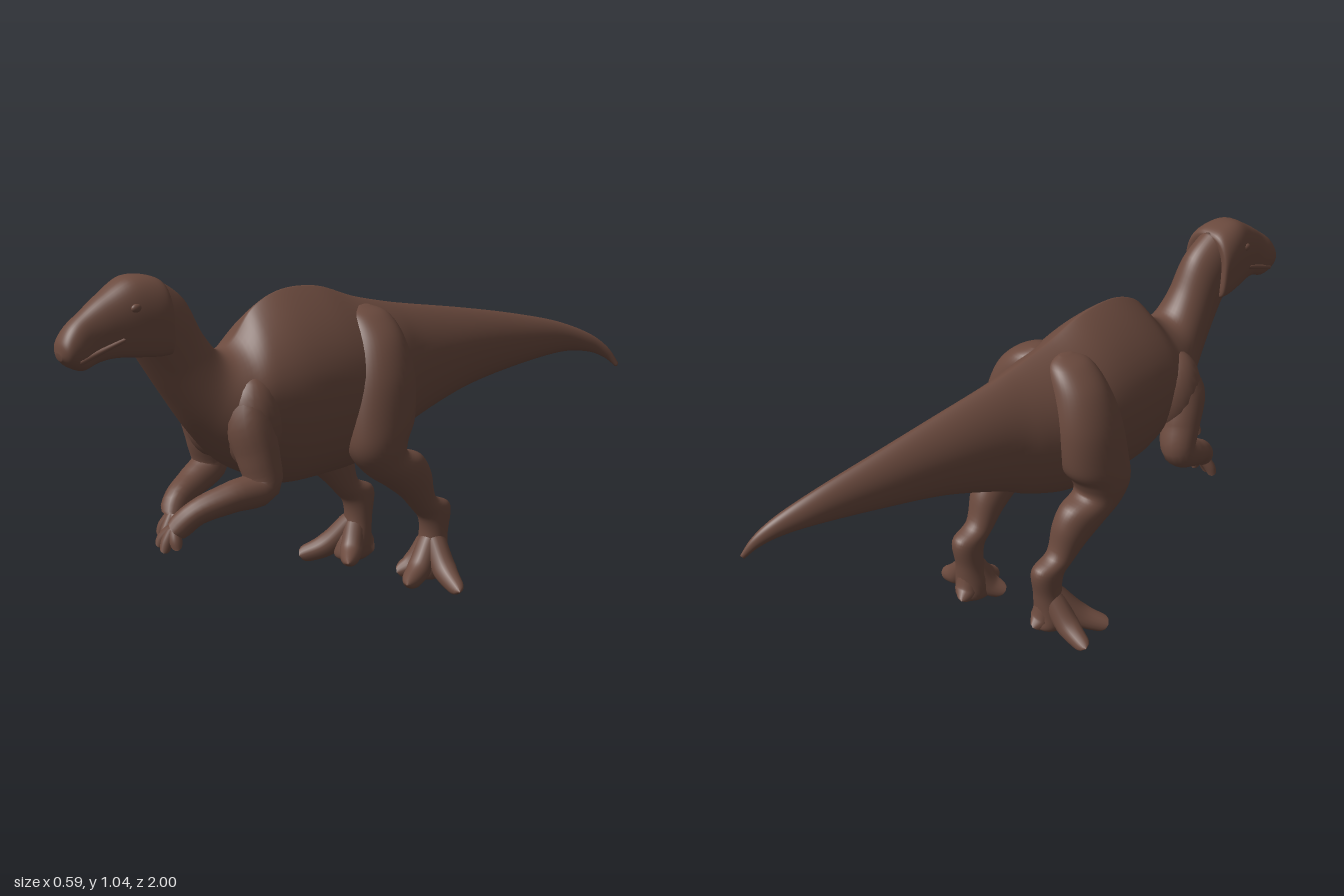
import * as THREE from 'three';

const skin = new THREE.MeshStandardMaterial({ color: 0x6b4a3e });
skin.name = 'brownSkin';

// Catmull-Rom interpolation of rows of numbers
function smoothRows(rows, steps) {
  const out = [], n = rows.length;
  for (let i = 0; i < n - 1; i++) {
    const a = rows[Math.max(i - 1, 0)], b = rows[i], c = rows[i + 1], d = rows[Math.min(i + 2, n - 1)];
    for (let s = 0; s < steps; s++) {
      const t = s / steps;
      out.push(b.map((v, k) => v + 0.5 * t * (c[k] - a[k] +
        t * (2 * a[k] - 5 * v + 4 * c[k] - d[k] + t * (3 * (v - c[k]) + d[k] - a[k])))));
    }
  }
  out.push(rows[n - 1]);
  return out;
}

// Loft of oval rings. Row: [z1, y1, z2, y2, centreX, halfWidth, power above, power below]
function loft(name, rows, sides = 40) {
  const rings = smoothRows(rows, 6), pos = [], index = [];
  for (const [z1, y1, z2, y2, cx, w, p, q] of rings) {
    for (let j = 0; j < sides; j++) {
      const t = j / sides * Math.PI * 2, c = Math.cos(t), s = Math.sin(t);
      const x = Math.sign(s) * Math.pow(Math.abs(s), c > 0 ? p : q) * Math.max(w, 0.002);
      pos.push(cx + x, (y1 + y2) / 2 + (y1 - y2) / 2 * c, (z1 + z2) / 2 + (z1 - z2) / 2 * c);
    }
  }
  for (let i = 0; i < rings.length - 1; i++) {
    for (let j = 0; j < sides; j++) {
      const k = (j + 1) % sides, a = i * sides + j, b = i * sides + k;
      index.push(a, b, a + sides, b, b + sides, a + sides);
    }
  }
  // close both ends
  const last = rings.length - 1;
  for (const [i, flip] of [[0, true], [last, false]]) {
    const [z1, y1, z2, y2, cx] = rings[i], m = pos.length / 3;
    pos.push(cx, (y1 + y2) / 2, (z1 + z2) / 2);
    for (let j = 0; j < sides; j++) {
      const a = i * sides + j, b = i * sides + (j + 1) % sides;
      index.push(m, flip ? b : a, flip ? a : b);
    }
  }
  const g = new THREE.BufferGeometry();
  g.setAttribute('position', new THREE.Float32BufferAttribute(pos, 3));
  g.setIndex(index);
  g.computeVertexNormals();
  const mesh = new THREE.Mesh(g, skin);
  mesh.name = name;
  return mesh;
}

// Round-ended tube of varying thickness. Row: [x, y, z, radius]
function limb(name, rows) {
  const curve = new THREE.CatmullRomCurve3(rows.map(r => new THREE.Vector3(r[0], r[1], r[2])));
  const seg = 30, sides = 16, length = curve.getLength();
  const g = new THREE.TubeGeometry(curve, seg, 1, sides, false);
  const P = g.attributes.position, N = g.attributes.normal;
  for (let i = 0; i <= seg; i++) {
    const u = i / seg, f = curve.getUtoTmapping(u) * (rows.length - 1);
    const k = Math.min(Math.floor(f), rows.length - 2);
    let r = THREE.MathUtils.lerp(rows[k][3], rows[k + 1][3], f - k);
    const d = Math.min(u, 1 - u) * length;
    if (d < r) r = Math.sqrt(Math.max(r * r - (r - d) ** 2, 1e-8));
    const c = curve.getPointAt(u);
    for (let j = 0; j <= sides; j++) {
      const v = i * (sides + 1) + j;
      P.setXYZ(v, c.x + N.getX(v) * r, c.y + N.getY(v) * r, c.z + N.getZ(v) * r);
    }
  }
  const mesh = new THREE.Mesh(g, skin);
  mesh.name = name;
  return mesh;
}

function ball(name, x, y, z, sx, sy, sz) {
  const mesh = new THREE.Mesh(new THREE.SphereGeometry(1, 24, 16), skin);
  mesh.position.set(x, y, z);
  mesh.scale.set(sx, sy, sz);
  mesh.name = name;
  return mesh;
}

export function createModel() {
  const model = new THREE.Group();
  model.name = 'dinosaur';

  // neck, ridged torso and tail in one sweep
  model.add(loft('body', [
    [0.70, 1.03, 0.80, 0.88, 0.01, 0.06, 1, 1],
    [0.62, 0.97, 0.735, 0.78, 0.012, 0.068, 1, 0.9],
    [0.565, 0.87, 0.68, 0.70, 0.012, 0.076, 1, 0.85],
    [0.51, 0.81, 0.60, 0.59, 0.01, 0.10, 1, 0.9],
    [0.45, 0.83, 0.51, 0.49, 0.008, 0.142, 1.4, 1],
    [0.38, 0.91, 0.42, 0.435, 0.008, 0.16, 1.8, 1],
    [0.28, 0.95, 0.31, 0.388, 0.008, 0.174, 1.9, 1],
    [0.15, 0.945, 0.15, 0.387, 0.005, 0.177, 1.8, 1],
    [0.02, 0.90, 0.02, 0.40, 0.005, 0.165, 1.6, 1],
    [-0.10, 0.87, -0.10, 0.44, 0.005, 0.13, 1.5, 1],
    [-0.20, 0.85, -0.20, 0.49, 0.005, 0.10, 1.4, 1],
    [-0.40, 0.815, -0.40, 0.56, 0.015, 0.075, 1.4, 1],
    [-0.60, 0.775, -0.60, 0.60, 0.03, 0.053, 1.3, 1],
    [-0.78, 0.73, -0.80, 0.625, 0.055, 0.032, 1.2, 1],
    [-0.90, 0.68, -0.90, 0.618, 0.085, 0.022, 1, 1],
    [-0.965, 0.63, -0.955, 0.595, 0.11, 0.014, 1, 1],
    [-1.0, 0.575, -0.99, 0.563, 0.13, 0.006, 1, 1],
  ], 48));

  // head from beak to cheeks
  model.add(loft('head', [
    [1.0, 0.865, 0.995, 0.845, 0.01, 0.015, 1, 1],
    [0.995, 0.895, 0.972, 0.825, 0.01, 0.04, 0.8, 0.8],
    [0.97, 0.932, 0.935, 0.812, 0.01, 0.047, 0.8, 0.7],
    [0.925, 0.967, 0.89, 0.828, 0.01, 0.046, 0.8, 0.5],
    [0.87, 1.005, 0.84, 0.836, 0.01, 0.058, 0.8, 0.3],
    [0.80, 1.044, 0.77, 0.831, 0.01, 0.077, 0.75, 0.22],
    [0.735, 1.043, 0.71, 0.828, 0.01, 0.088, 0.75, 0.2],
    [0.695, 1.025, 0.688, 0.838, 0.01, 0.082, 0.75, 0.25],
    [0.70, 0.99, 0.70, 0.89, 0.01, 0.05, 1, 1],
  ], 48));
  for (const s of [-1, 1]) {
    const x = d => 0.01 + s * d;
    model.add(ball('eye', x(0.068), 0.97, 0.80, 0.009, 0.012, 0.016));
    model.add(limb('lip', [[x(0.038), 0.84, 0.96, 0.008], [x(0.043), 0.862, 0.90, 0.008], [x(0.06), 0.89, 0.83, 0.006]]));
    // muscle spreading the arm into the chest
    model.add(ball('shoulder', s * 0.1, 0.61, 0.45, 0.082, 0.14, 0.085));
  }

  // hind legs: the right one stands further forward
  const legRows = [
    [-0.01, 0.878, 0.03, 0.878, 0.045, 0.01],
    [-0.055, 0.855, 0.075, 0.855, 0.065, 0.052],
    [-0.078, 0.79, 0.10, 0.79, 0.10, 0.08],
    [-0.092, 0.68, 0.125, 0.69, 0.13, 0.09],
    [-0.08, 0.56, 0.143, 0.56, 0.147, 0.087],
    [-0.05, 0.50, 0.135, 0.47, 0.155, 0.078],
    [-0.05, 0.46, 0.08, 0.40, 0.156, 0.067],
    [-0.11, 0.435, 0.0, 0.345, 0.155, 0.06],
    [-0.15, 0.38, -0.06, 0.30, 0.15, 0.052],
    [-0.18, 0.29, -0.11, 0.25, 0.143, 0.042],
    [-0.245, 0.25, -0.14, 0.21, 0.14, 0.041],
    [-0.235, 0.16, -0.145, 0.15, 0.138, 0.043],
    [-0.23, 0.09, -0.12, 0.09, 0.14, 0.054],
    [-0.235, 0.045, -0.11, 0.04, 0.14, 0.05],
    [-0.21, 0.025, -0.14, 0.025, 0.14, 0.03],
  ];
  for (const s of [1, -1]) {
    const side = s > 0 ? 'left' : 'right';
    const shift = y => s > 0 ? 0 : THREE.MathUtils.lerp(0.07, 0.025, THREE.MathUtils.smoothstep(y, 0.25, 0.6));
    model.add(loft(side + 'HindLeg', legRows.map(([z1, y1, z2, y2, x, w]) =>
      [z1 + shift(y1), y1, z2 + shift(y2), y2, s * x, w, 0.9, 0.9])));
    // toes: inner, middle, outer, heel
    const toes = [
      [0.075, 0.036, -0.10, 0.024], [0.175, 0.032, -0.055, 0.026],
      [0.295, 0.02, -0.16, 0.022], [0.125, 0.038, -0.24, 0.022],
    ];
    if (s < 0) {
      toes[1] = [0.26, 0.026, -0.05, 0.025];
      toes[2] = [0.295, 0.022, -0.18, 0.022];
    }
    toes.forEach(([x, y, z, r]) => {
      const d = shift(0);
      model.add(limb(side + 'Toe', [
        [s * 0.14, 0.16, -0.185 + d, 0.036],
        [s * (0.5 * x + 0.07), 0.066, -0.09 + 0.5 * z + d, 0.037],
        [s * x, y, z + d, r]]));
    });
  }

  // arms: the left one reaches forward
  const arms = {
    left: {
      path: [[0.09, 0.69, 0.46, 0.06], [0.12, 0.61, 0.475, 0.07], [0.138, 0.52, 0.46, 0.062], [0.148, 0.44, 0.455, 0.052],
        [0.135, 0.42, 0.55, 0.044], [0.10, 0.385, 0.645, 0.036], [0.065, 0.325, 0.705, 0.035]],
      tips: [[0.03, 0.285, 0.725], [0.06, 0.275, 0.728], [0.09, 0.285, 0.70]],
    },
    right: {
      path: [[-0.085, 0.69, 0.45, 0.06], [-0.12, 0.61, 0.465, 0.07], [-0.135, 0.52, 0.445, 0.062], [-0.146, 0.435, 0.43, 0.054],
        [-0.14, 0.39, 0.495, 0.046], [-0.12, 0.355, 0.565, 0.037], [-0.105, 0.305, 0.595, 0.037]],
      tips: [[-0.135, 0.25, 0.615], [-0.1, 0.245, 0.628], [-0.068, 0.258, 0.595]],
    },
  };
  for (const [side, { path, tips }] of Object.entries(arms)) {
    model.add(limb(side + 'Arm', path));
    const [x, y, z] = path[path.length - 1];
    for (const t of tips) {
      model.add(limb(side + 'Finger', [
        [x, y + 0.02, z - 0.01, 0.018],
        [(x + t[0]) / 2 + (t[0] - x) * 0.25, (y + t[1]) / 2 + 0.005, (z + t[2]) / 2, 0.018],
        [...t, 0.013]]));
    }
  }
  return model;
}
